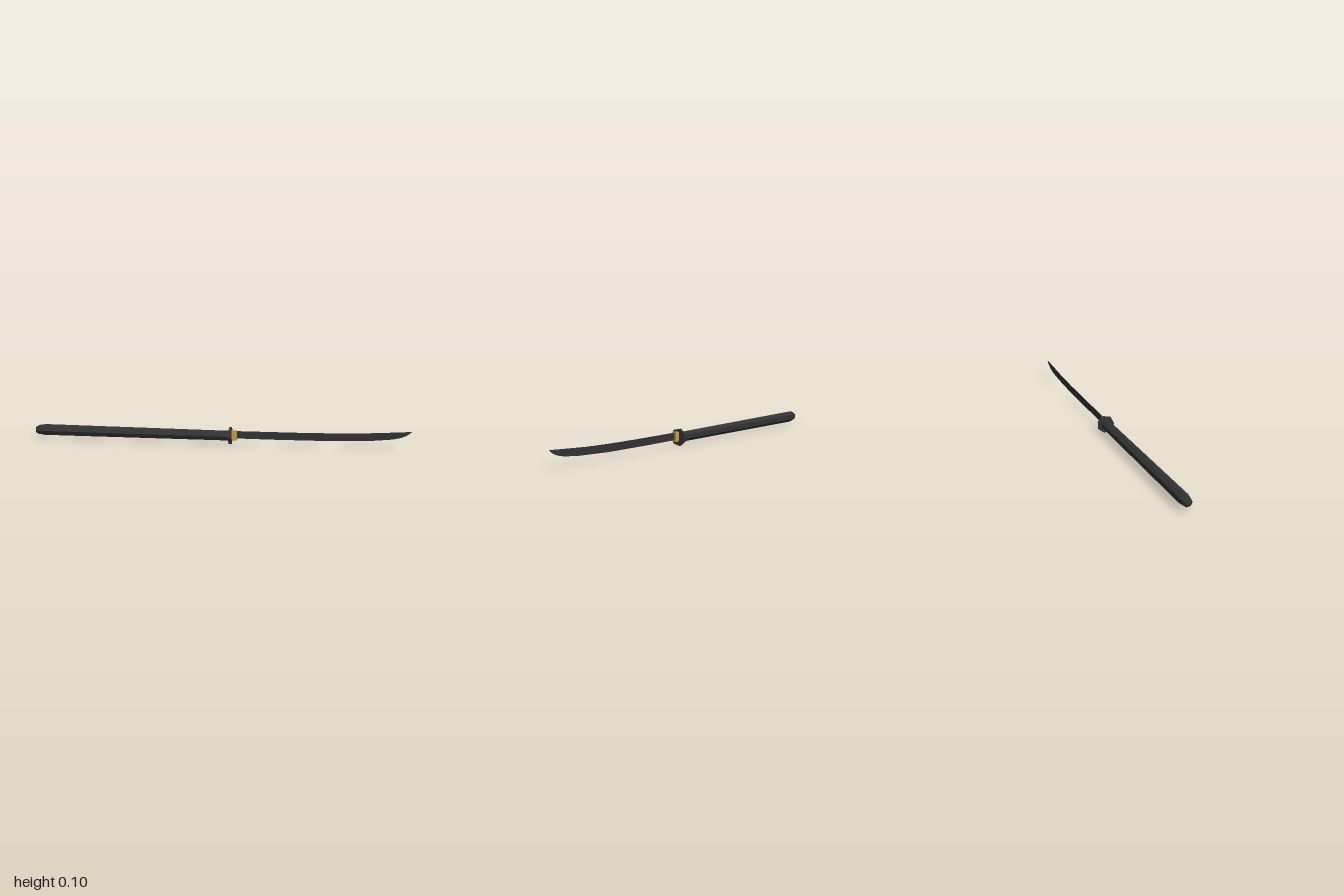
import * as THREE from 'three';

const dark = new THREE.MeshStandardMaterial({ color: 0x333333, flatShading: true });
dark.name = 'charcoal';
const gold = new THREE.MeshStandardMaterial({ color: 0xc8a045, flatShading: true });
gold.name = 'gold';

const SIDES = 7;
const AXIS_Y = 0.047;

function add(group, geometry, material, name) {
  const mesh = new THREE.Mesh(geometry, material);
  mesh.name = name;
  group.add(mesh);
  return mesh;
}

// Seven-sided solid along x from [radius, x] pairs, one corner towards +z
function turned(profile) {
  const points = profile.map(([r, x]) => new THREE.Vector2(r, x));
  return new THREE.LatheGeometry(points, SIDES)
    .rotateZ(-Math.PI / 2)
    .translate(0, AXIS_Y, -0.001);
}

export function createModel() {
  const sword = new THREE.Group();
  sword.name = 'sword';

  // Long handle with a rounded butt, narrowing slightly to the guard
  add(sword, turned([
    [0, -1], [0.017, -1], [0.025, -0.985], [0.0305, -0.95], [0.027, 0.05], [0, 0.05],
  ]), dark, 'handle');

  // Guard
  add(sword, turned([
    [0, 0.047], [0.0465, 0.047], [0.0465, 0.06], [0, 0.06],
  ]), dark, 'guard');

  // Collar at the blade root
  const base = add(sword, new THREE.BoxGeometry(0.016, 0.044, 0.02), gold, 'collarBase');
  base.position.set(0.066, 0.052, 0.002);
  const collar = add(sword, new THREE.BoxGeometry(0.018, 0.052, 0.025), gold, 'collar');
  collar.position.set(0.079, 0.052, 0);

  // Thin curved blade: spine out to the tip, cutting edge back
  const outline = [
    [0.07, 0.074], [0.4, 0.076], [0.6, 0.079], [0.75, 0.084], [0.88, 0.092], [1, 0.1],
    [0.975, 0.08], [0.945, 0.067], [0.9, 0.057], [0.8, 0.047], [0.6, 0.038], [0.3, 0.035], [0.07, 0.035],
  ].map(([x, y]) => new THREE.Vector2(x, y));
  const blade = new THREE.ExtrudeGeometry(new THREE.Shape(outline), { depth: 0.003, bevelEnabled: false });
  add(sword, blade.translate(0, 0, -0.0015), dark, 'blade');

  return sword;
}
